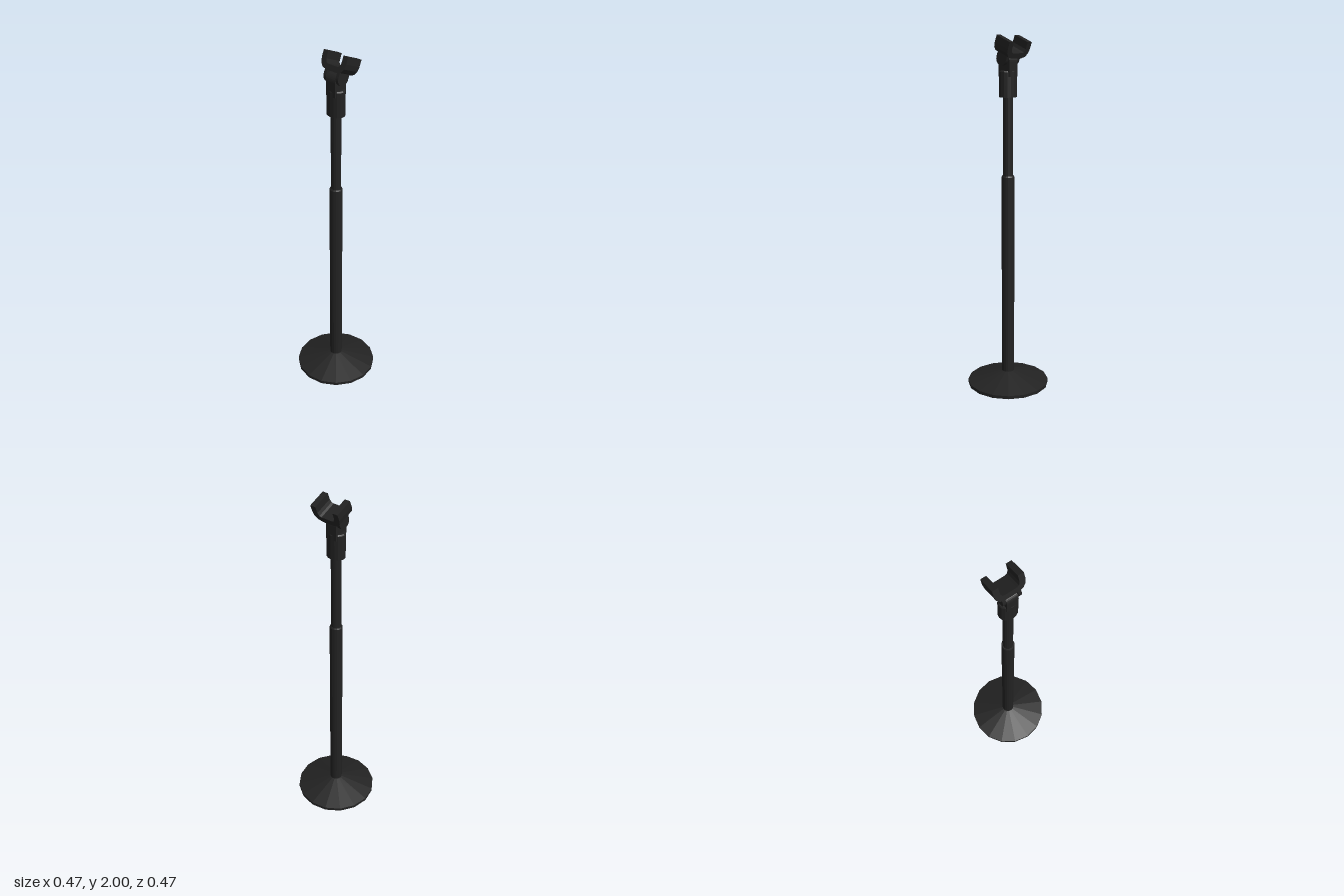
import * as THREE from 'three';

export function createModel() {
  const group = new THREE.Group();
  const black = new THREE.MeshStandardMaterial({ color: 0x222222, flatShading: true });
  black.name = 'black';

  const add = (name, geometry, parent = group) => {
    const mesh = new THREE.Mesh(geometry, black);
    mesh.name = name;
    parent.add(mesh);
    return mesh;
  };
  const lathe = (name, points, sides = 16) =>
    add(name, new THREE.LatheGeometry(points.map(([r, y]) => new THREE.Vector2(r, y)), sides));
  const shapeOf = (points) => new THREE.Shape(points.map(([x, y]) => new THREE.Vector2(x, y)));
  const extrude = (shape, depth) =>
    new THREE.ExtrudeGeometry(shape, { depth, bevelEnabled: false, curveSegments: 8 }).translate(0, 0, -depth / 2);

  // Shallow conical foot and telescopic pole
  lathe('base', [[0, 0], [0.235, 0], [0.235, 0.018], [0.036, 0.076], [0, 0.076]]);
  lathe('lowerPole', [[0.036, 0.07], [0.036, 1.23], [0.032, 1.237], [0, 1.237]]);
  lathe('upperPole', [[0.028, 1.23], [0.028, 1.69]]);

  // Slightly flattened clamp sleeve
  lathe('sleeve', [[0, 1.67], [0.053, 1.67], [0.053, 1.805], [0.048, 1.812], [0, 1.812]]).scale.z = 0.82;

  // Round-topped tongue that carries the hinge
  const tongue = new THREE.Shape();
  tongue.moveTo(-0.041, 1.78);
  tongue.lineTo(0.041, 1.78);
  tongue.lineTo(0.041, 1.86);
  tongue.absarc(0, 1.86, 0.041, 0, Math.PI, false);
  tongue.closePath();
  add('hingeTongue', extrude(tongue, 0.064).rotateY(Math.PI / 2));

  // Tilted U-shaped cradle
  const cradle = new THREE.Group();
  cradle.name = 'cradle';
  cradle.position.set(0, 1.938, -0.03);
  cradle.rotation.x = -0.38;
  group.add(cradle);
  const half = [[0.035, -0.046], [0.064, -0.038], [0.08, -0.018], [0.085, 0.008], [0.085, 0.046],
    [0.053, 0.046], [0.053, 0.006], [0.046, -0.011], [0.034, -0.016]];
  const mirrored = half.map(([x, y]) => [-x, y]).reverse();
  add('cradleFork', extrude(shapeOf([...half, ...mirrored]), 0.103), cradle);

  // Hinge ears either side of the tongue
  for (const side of [-1, 1]) {
    const ear = new THREE.Shape();
    ear.moveTo(0.037, -0.068);
    ear.lineTo(0.037, -0.025);
    ear.lineTo(-0.037, -0.025);
    ear.lineTo(-0.037, -0.068);
    ear.absarc(0, -0.068, 0.037, Math.PI, Math.PI * 2, false);
    const mesh = add(side > 0 ? 'leftHingeEar' : 'rightHingeEar', extrude(ear, 0.018).rotateY(Math.PI / 2), cradle);
    mesh.position.set(side * 0.043, 0, 0.006);
  }
  return group;
}
